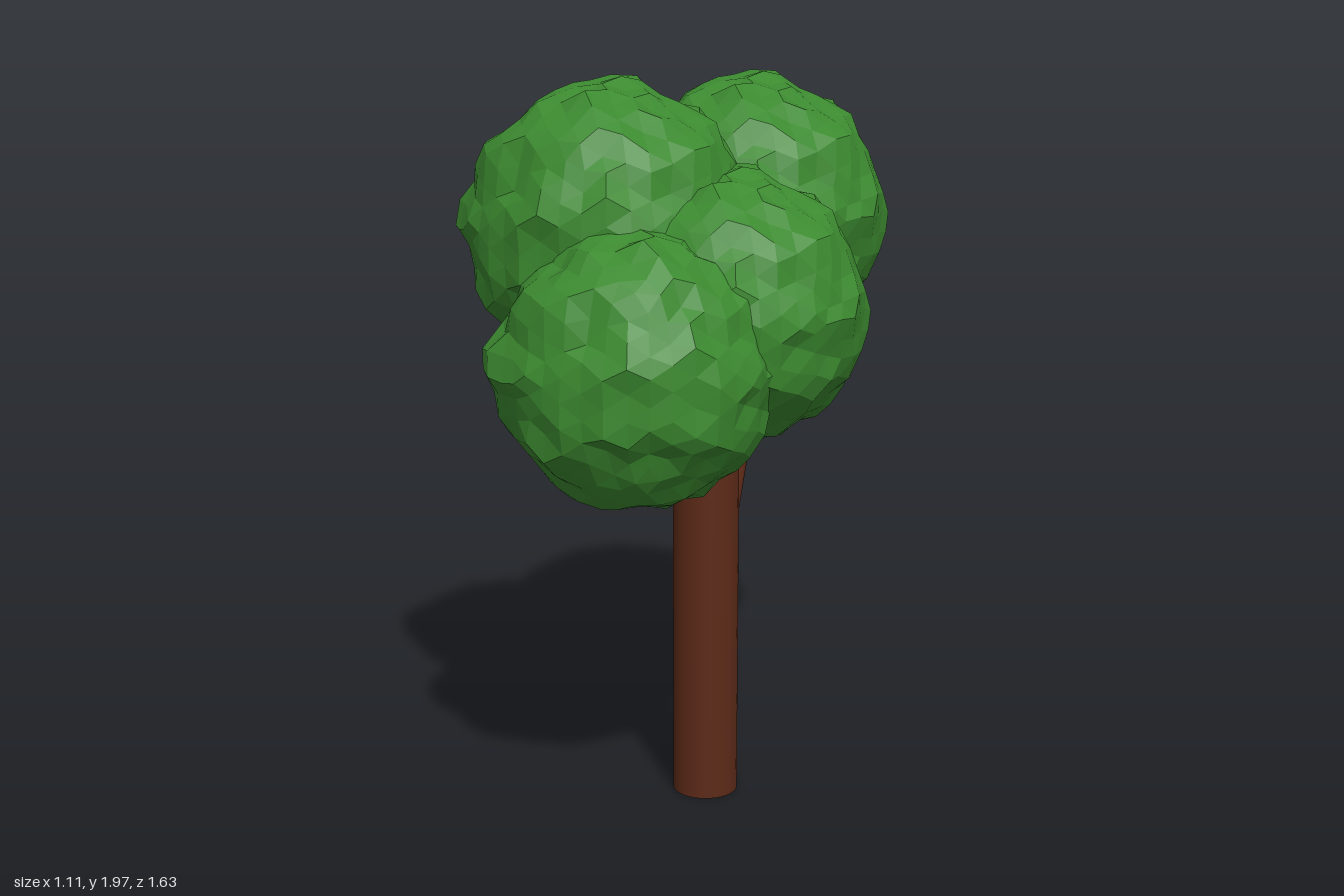
import * as THREE from 'three';

// Repeatable 0..1 value for a direction, so shared corners move together
function hash(v, seed) {
  const q = (n) => Math.round(n * 1000);
  const s = Math.sin(q(v.x) * 0.1271 + q(v.y) * 0.3117 + q(v.z) * 0.0747 + seed) * 43758.5453;
  return s - Math.floor(s);
}

// Unit ball roughened into leafy ledges, with a few outward tips
function foliageGeometry() {
  const geo = new THREE.IcosahedronGeometry(1, 6);
  const pos = geo.attributes.position;
  const tips = [[0.08, 0.93, 0.38], [0, 0.17, -1], [-1, 0.05, 0.1], [0.97, 0, -0.25]]
    .map((t) => new THREE.Vector3(...t).normalize());
  const v = new THREE.Vector3();
  for (let i = 0; i < pos.count; i++) {
    v.fromBufferAttribute(pos, i).normalize();
    const angle = Math.atan2(v.z, v.x);
    const lumps = 0.018 * Math.sin(5 * v.x + 3 * v.y) + 0.018 * Math.sin(6 * v.z - 4 * v.y + 1);
    const ledge = 0.02 * Math.sin(13 * v.y + 1.5 * Math.sin(3 * angle));
    let r = 0.985 + lumps + ledge + 0.05 * (hash(v, 1) - 0.5);
    for (const t of tips) r += 0.07 * Math.max(0, 1 - v.distanceTo(t) / 0.22);
    const droop = 0.05 * (hash(v, 7) - 0.5);
    pos.setXYZ(i, v.x * r, v.y * r + droop, v.z * r);
  }
  geo.computeVertexNormals();
  return geo;
}

// Round limb between two points
function limb(name, from, to, radius, material) {
  const a = new THREE.Vector3(...from);
  const dir = new THREE.Vector3(...to).sub(a);
  const mesh = new THREE.Mesh(new THREE.CylinderGeometry(radius, radius, dir.length(), 32), material);
  mesh.position.copy(a).addScaledVector(dir, 0.5);
  mesh.quaternion.setFromUnitVectors(new THREE.Vector3(0, 1, 0), dir.normalize());
  mesh.name = name;
  return mesh;
}

export function createModel() {
  const tree = new THREE.Group();
  tree.name = 'tree';
  const bark = new THREE.MeshStandardMaterial({ color: 0x5c2a18 });
  const leaves = new THREE.MeshStandardMaterial({ color: 0x3c8a30, flatShading: true });

  // Trunk and side branch
  tree.add(limb('trunk', [0.11, 0, 0.16], [0.11, 1.12, 0.16], 0.09, bark));
  tree.add(limb('branch', [0.11, 0.6, 0.13], [0.09, 1.06, -0.28], 0.05, bark));

  // Leaf clumps: name, centre, radius, turn about y
  const geo = foliageGeometry();
  const clumps = [
    ['frontFoliage', [0.01, 1.26, 0.44], 0.37, 0.4],
    ['upperRightFoliage', [-0.16, 1.58, 0.16], 0.39, 0],
    ['leftFoliage', [0.18, 1.38, 0.18], 0.365, 0],
    ['upperBackFoliage', [0.08, 1.57, -0.4], 0.395, 0],
    ['lowerBackFoliage', [0.07, 1.17, -0.35], 0.265, 0.8],
  ];
  for (const [name, centre, radius, turn] of clumps) {
    const clump = new THREE.Mesh(geo, leaves);
    clump.name = name;
    clump.position.set(...centre);
    clump.scale.setScalar(radius);
    clump.rotation.y = turn;
    tree.add(clump);
  }
  return tree;
}
